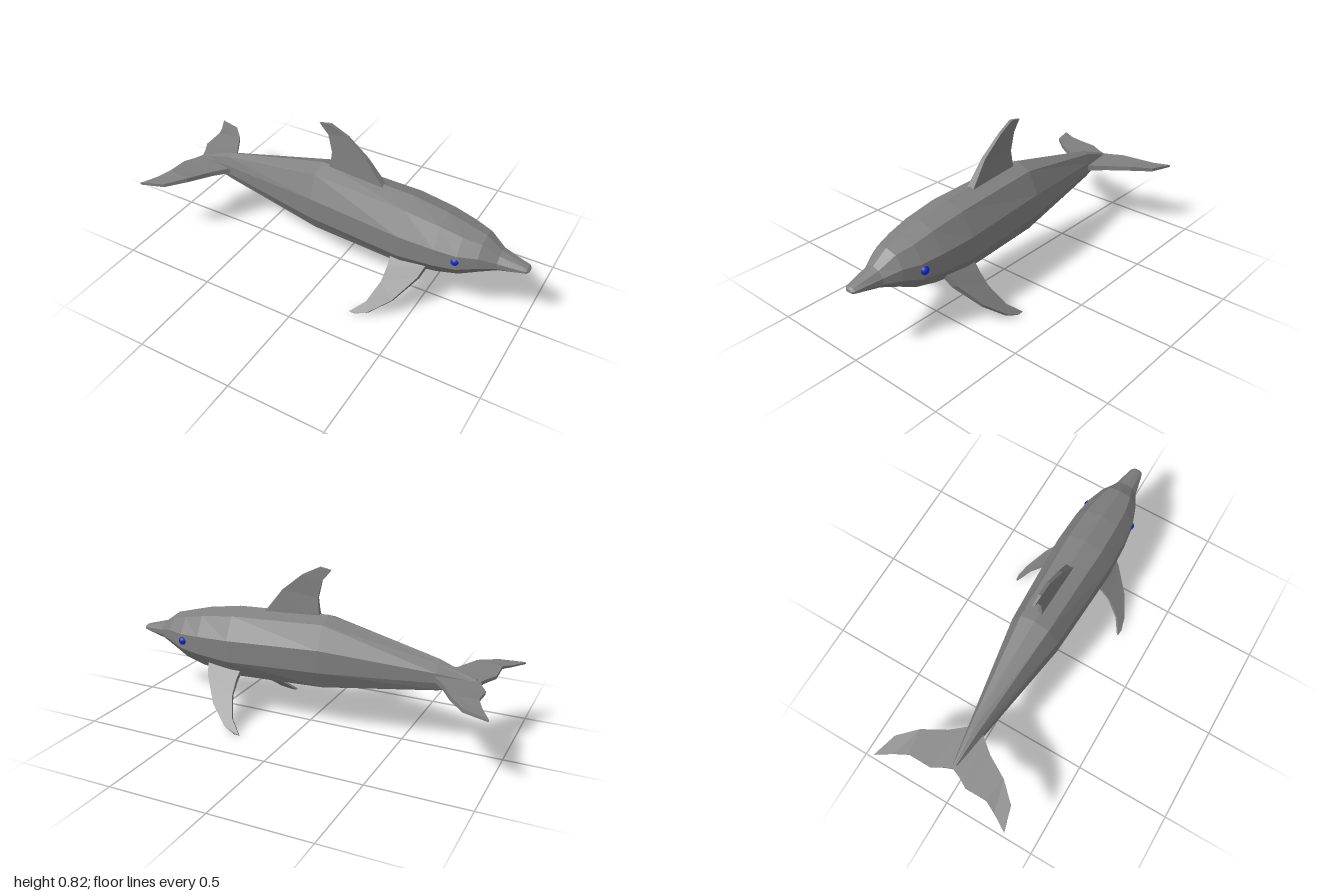
import * as THREE from 'three';

const grey = new THREE.MeshStandardMaterial({ color: 0x808080, flatShading: true });
const blue = new THREE.MeshStandardMaterial({ color: 0x1428c8 });

// Skin a series of closed rings of [x, y, z] points, capping both ends.
function loft(name, rings) {
  const n = rings[0].length;
  const pos = [];
  const tri = (a, b, c) => pos.push(...a, ...b, ...c);
  for (let i = 0; i < rings.length - 1; i++) {
    for (let j = 0; j < n; j++) {
      const k = (j + 1) % n;
      const [a, b, c, d] = [rings[i][j], rings[i][k], rings[i + 1][k], rings[i + 1][j]];
      tri(a, b, c);
      tri(a, c, d);
    }
  }
  const first = rings[0], last = rings[rings.length - 1];
  for (let j = 1; j < n - 1; j++) {
    tri(first[0], first[j + 1], first[j]);
    tri(last[0], last[j], last[j + 1]);
  }

  // Turn the faces outward if the enclosed volume comes out negative
  let volume = 0;
  const [a, b, c] = [0, 1, 2].map(() => new THREE.Vector3());
  for (let i = 0; i < pos.length; i += 9) {
    a.fromArray(pos, i); b.fromArray(pos, i + 3); c.fromArray(pos, i + 6);
    volume += a.dot(b.cross(c));
  }
  if (volume < 0) {
    for (let i = 0; i < pos.length; i += 9) {
      const swap = pos.slice(i + 3, i + 6);
      for (let k = 0; k < 3; k++) {
        pos[i + 3 + k] = pos[i + 6 + k];
        pos[i + 6 + k] = swap[k];
      }
    }
  }
  const geometry = new THREE.BufferGeometry();
  geometry.setAttribute('position', new THREE.Float32BufferAttribute(pos, 3));
  geometry.computeVertexNormals();
  const mesh = new THREE.Mesh(geometry, grey);
  mesh.name = name;
  return mesh;
}

// A tapering blade: each station is [leading point, trailing point, half thickness].
function blade(name, stations, normal, side = 1) {
  const offset = (p, t) => {
    const q = p.map((v, i) => v + normal[i] * t);
    return [q[0], q[1], q[2] * side];
  };
  return loft(name, stations.map(([lead, trail, t]) => [
    offset(lead, t), offset(trail, t * 0.6), offset(trail, -t * 0.6), offset(lead, -t),
  ]));
}

export function createModel() {
  const model = new THREE.Group();

  // Body stations from tail to snout: x, top, bottom, half width
  const stations = [
    [-0.85, 0.385, 0.35, 0.012],
    [-0.67, 0.455, 0.295, 0.04],
    [-0.1, 0.59, 0.205, 0.13],
    [0.4, 0.568, 0.19, 0.155],
    [0.58, 0.538, 0.22, 0.147],
    [0.69, 0.508, 0.25, 0.132],
    [0.78, 0.483, 0.293, 0.1],
    [0.86, 0.425, 0.326, 0.06],
    [0.97, 0.392, 0.35, 0.036],
    [0.99, 0.386, 0.354, 0.03],
    [1.0, 0.377, 0.362, 0.017],
  ];
  // Right half of the ten-sided section: share of width, share of height
  const half = [[0, 1], [0.6, 0.92], [1, 0.62], [1, 0.32], [0.62, 0.08], [0, 0]];
  const section = [...half, ...half.slice(1, -1).reverse().map(([w, h]) => [-w, h])];
  model.add(loft('body', stations.map(([x, top, bottom, width]) =>
    section.map(([w, h]) => [x, bottom + (top - bottom) * h, w * width]))));

  // Dorsal fin, swept back with a slight sideways bend
  model.add(blade('dorsalFin', [
    [[0.26, 0.55, 0], [-0.065, 0.55, 0], 0.021],
    [[0.235, 0.58, 0], [-0.05, 0.6, 0], 0.019],
    [[0.15, 0.69, 0], [-0.043, 0.67, 0], 0.011],
    [[0.04, 0.78, -0.003], [-0.065, 0.76, -0.002], 0.008],
    [[-0.05, 0.825, 0.002], [-0.11, 0.815, 0.002], 0.008],
  ], [0, 0, 1]));

  for (const side of [1, -1]) {
    // Pectoral flipper, angled down and out
    model.add(blade('flipper', [
      [[0.535, 0.265, 0.1], [0.345, 0.258, 0.1], 0.02],
      [[0.515, 0.212, 0.145], [0.35, 0.215, 0.141], 0.018],
      [[0.43, 0.105, 0.243], [0.345, 0.155, 0.196], 0.011],
      [[0.33, 0.028, 0.306], [0.305, 0.065, 0.273], 0.009],
      [[0.27, 0.008, 0.324], [0.238, 0.007, 0.323], 0.008],
    ], [0, 0.64, 0.77], side));

    // Tail fluke
    model.add(blade('fluke', [
      [[-0.64, 0.365, 0], [-0.87, 0.365, 0], 0.016],
      [[-0.66, 0.366, 0.04], [-0.885, 0.366, 0.04], 0.015],
      [[-0.725, 0.368, 0.12], [-0.918, 0.368, 0.1], 0.013],
      [[-0.79, 0.376, 0.235], [-0.918, 0.376, 0.215], 0.012],
      [[-0.875, 0.366, 0.325], [-0.95, 0.366, 0.28], 0.009],
      [[-0.99, 0.36, 0.36], [-1.0, 0.36, 0.364], 0.007],
    ], [0, 1, 0], side));

    // Eye
    const eye = new THREE.Mesh(new THREE.SphereGeometry(0.022, 16, 12), blue);
    eye.name = 'eye';
    eye.position.set(0.68, 0.375, side > 0 ? 0.122 : -0.128);
    model.add(eye);
  }
  return model;
}
